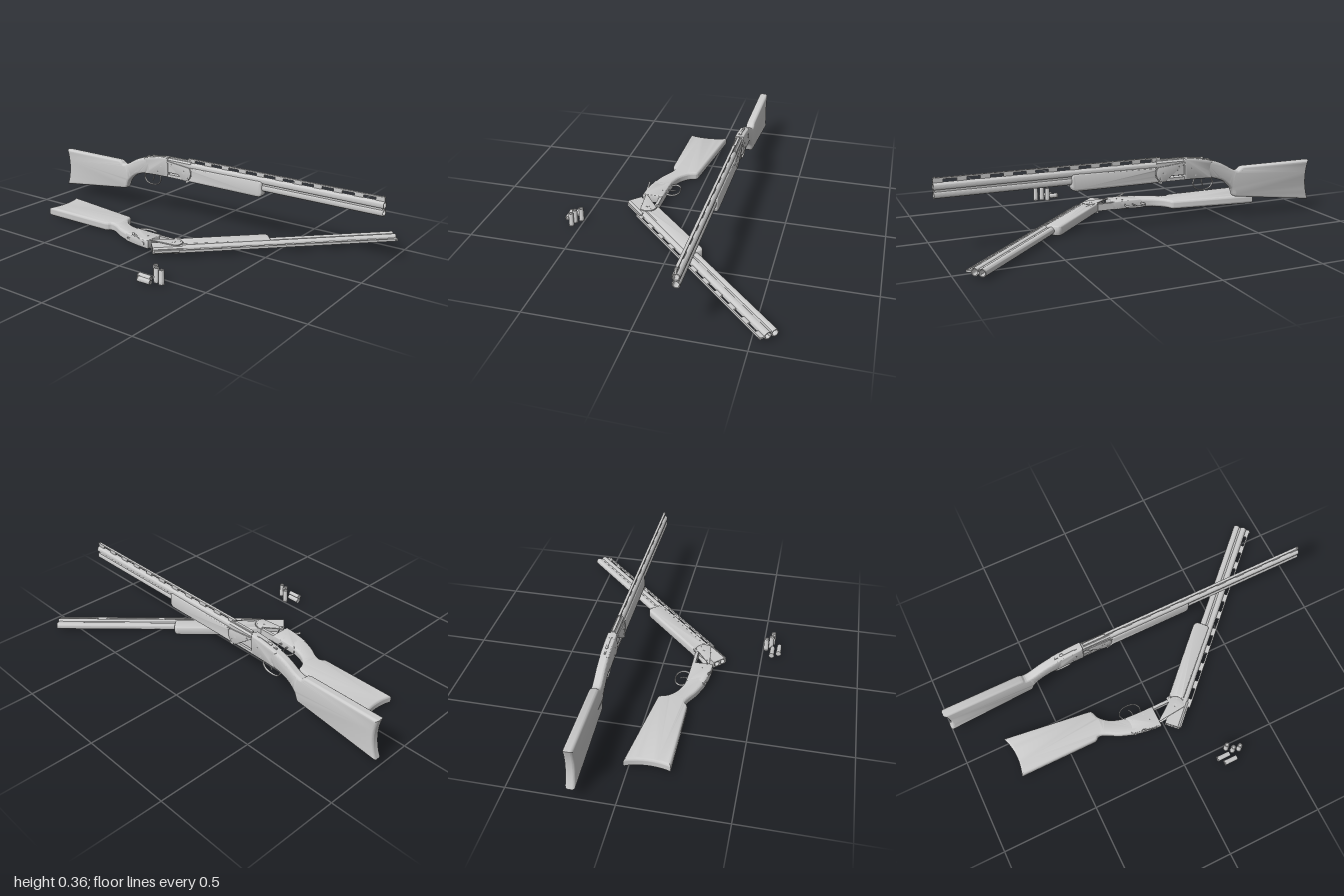
import * as THREE from 'three';
import { toCreasedNormals } from 'three/addons/utils/BufferGeometryUtils.js';

const mat = new THREE.MeshStandardMaterial({ color: 0xcccccc, side: THREE.DoubleSide });
const HINGE = { x: -0.127, y: 0.276 };
const BREECH = -0.238;
const BORES = [0.3135, 0.2775]; // heights of the upper and lower barrel

const V = (pts) => pts.map(([x, y]) => new THREE.Vector2(x, y));

function add(parent, name, geo, x = 0, y = 0, z = 0) {
  const mesh = new THREE.Mesh(geo, mat);
  mesh.name = name;
  mesh.position.set(x, y, z);
  parent.add(mesh);
  return mesh;
}

const box = (parent, name, x0, x1, y0, y1, width) =>
  add(parent, name, new THREE.BoxGeometry(x1 - x0, y1 - y0, width), (x0 + x1) / 2, (y0 + y1) / 2, 0);

// Side outline extruded to a rounded slab centred on z = 0
function slab(shape, half, bevel) {
  const depth = 2 * (half - bevel);
  const geo = new THREE.ExtrudeGeometry(shape, {
    depth, curveSegments: 10, bevelEnabled: bevel > 0, bevelSegments: 5,
    bevelThickness: bevel, bevelSize: bevel, bevelOffset: -bevel,
  });
  geo.translate(0, 0, -depth / 2);
  return toCreasedNormals(geo, 0.6);
}

// Cylinder lying across the gun
function crossPin(parent, name, x, y, r, half) {
  const pin = add(parent, name, new THREE.CylinderGeometry(r, r, half * 2, 16), x, y, 0);
  pin.rotation.x = Math.PI / 2;
}

function tube(points, r, flat) {
  const curve = new THREE.CatmullRomCurve3(points.map(([x, y]) => new THREE.Vector3(x, y, 0)));
  return new THREE.TubeGeometry(curve, 32, r, 8).scale(1, 1, flat);
}

function stockShape() {
  const s = new THREE.Shape();
  s.moveTo(-0.993, 0.268);
  s.lineTo(-0.585, 0.268);
  s.splineThru(V([[-0.57, 0.262], [-0.553, 0.251], [-0.52, 0.26], [-0.46, 0.293], [-0.4, 0.315], [-0.36, 0.322]]));
  s.lineTo(-0.36, 0.228);
  s.splineThru(V([[-0.42, 0.219], [-0.473, 0.198], [-0.515, 0.16], [-0.532, 0.12], [-0.545, 0.111]]));
  s.lineTo(-1, 0.052);
  s.quadraticCurveTo(-0.958, 0.16, -0.993, 0.268);
  return s;
}

function receiverShape() {
  const s = new THREE.Shape();
  s.moveTo(-0.4, 0.224);
  s.quadraticCurveTo(-0.33, 0.23, BREECH, 0.23);
  s.lineTo(BREECH, 0.339);
  s.quadraticCurveTo(-0.31, 0.337, -0.4, 0.315);
  s.quadraticCurveTo(-0.375, 0.27, -0.4, 0.224);
  return s;
}

function wallShape() {
  const s = new THREE.Shape();
  s.moveTo(-0.25, 0.23);
  s.absarc(HINGE.x, HINGE.y, 0.046, -Math.PI / 2, 0.7, false);
  s.lineTo(-0.25, 0.322);
  return s;
}

function forendShape() {
  const s = new THREE.Shape();
  s.moveTo(HINGE.x + 0.036, 0.307);
  s.lineTo(0.342, 0.312);
  s.quadraticCurveTo(0.355, 0.312, 0.357, 0.298);
  s.lineTo(0.359, 0.252);
  s.quadraticCurveTo(0.358, 0.229, 0.33, 0.228);
  s.lineTo(HINGE.x + 0.01, 0.229);
  s.absarc(HINGE.x, HINGE.y, 0.047, -1.4, 0.7, false);
  return s;
}

function buildBarrels(open) {
  const pivot = new THREE.Group();
  pivot.name = 'barrelAssembly';
  pivot.position.set(HINGE.x, HINGE.y, 0);
  pivot.rotation.z = -open;
  const g = new THREE.Group();
  g.position.set(-HINGE.x, -HINGE.y, 0);
  pivot.add(g);

  // Breech block with two chambers
  const block = new THREE.Shape(V([[-0.0175, 0.257], [0.0175, 0.257], [0.0175, 0.326], [0.01, 0.336], [-0.01, 0.336], [-0.0175, 0.326]]));
  for (const y of BORES) block.holes.push(new THREE.Path().absarc(0, y, 0.0135, 0, Math.PI * 2, true));
  const blockGeo = new THREE.ExtrudeGeometry(block, { depth: 0.15, bevelEnabled: false, curveSegments: 16 });
  add(g, 'breechBlock', toCreasedNormals(blockGeo, 0.6).rotateY(Math.PI / 2), BREECH + 0.002);

  // Hollow barrels
  const len = 1.11;
  const wall = V([[0.0138, 0], [0.018, 0], [0.018, len], [0.0138, len], [0.0138, 0]]);
  for (const y of BORES) {
    const geo = toCreasedNormals(new THREE.LatheGeometry(wall, 28), 0.6).rotateZ(-Math.PI / 2);
    add(g, 'barrel', geo, 1 - len, y);
  }
  for (const side of [-1, 1]) box(g, 'sideRib', -0.1, 0.995, 0.288, 0.303, 0.004).position.z = side * 0.01;

  // Ventilated sighting rib
  box(g, 'topRib', -0.11, 1, 0.346, 0.353, 0.013);
  box(g, 'ribRamp', BREECH + 0.01, -0.09, 0.334, 0.343, 0.013);
  for (let i = 0; i < 11; i++) {
    const x = -0.11 + i * 0.1065;
    box(g, 'ribPost', x, x + 0.045, 0.328, 0.347, 0.008);
  }
  add(g, 'frontBead', new THREE.SphereGeometry(0.004, 12, 8), 0.99, 0.355);

  add(g, 'forend', slab(forendShape(), 0.0245, 0.011));
  return pivot;
}

function buildGun(name, open, leverTurn) {
  const g = new THREE.Group();
  g.name = name;
  add(g, 'stock', slab(stockShape(), 0.0235, 0.014));

  // Receiver: solid rear, two side walls and a floor
  add(g, 'receiver', slab(receiverShape(), 0.0235, 0.007));
  for (const z of [-0.0205, 0.0205]) add(g, 'receiverWall', slab(wallShape(), 0.0028, 0.0008), 0, 0, z);
  box(g, 'receiverFloor', -0.25, HINGE.x + 0.015, 0.231, 0.247, 0.038);
  crossPin(g, 'hingePin', HINGE.x, HINGE.y, 0.009, 0.024);
  for (const [x, y] of [[-0.28, 0.285], [-0.21, 0.303], [-0.3, 0.25], [-0.105, 0.25]]) crossPin(g, 'screw', x, y, 0.004, 0.0245);

  // Trigger and guard
  add(g, 'triggerGuard', tube([[-0.398, 0.226], [-0.411, 0.2], [-0.395, 0.174], [-0.355, 0.165], [-0.315, 0.175], [-0.299, 0.2], [-0.306, 0.232]], 0.003, 2));
  add(g, 'trigger', tube([[-0.35, 0.232], [-0.347, 0.208], [-0.356, 0.188]], 0.003, 1.3));

  // Opening lever and safety catch
  const lever = new THREE.Group();
  lever.name = 'topLever';
  lever.position.set(-0.272, 0.336, 0);
  lever.rotation.set(0, leverTurn, 0.08);
  box(lever, 'leverArm', -0.075, 0.008, -0.004, 0.003, 0.009);
  add(lever, 'leverThumbPiece', new THREE.SphereGeometry(0.007, 14, 10).scale(1.4, 0.8, 1), -0.074, 0.001);
  add(lever, 'leverPivot', new THREE.CylinderGeometry(0.009, 0.009, 0.008, 16));
  g.add(lever);
  box(g, 'safetyCatch', -0.385, -0.366, 0.315, 0.326, 0.008);

  g.add(buildBarrels(open));
  return g;
}

function buildShell() {
  const profile = V([[0, 0], [0.0145, 0], [0.0145, 0.003], [0.0132, 0.004], [0.0132, 0.02], [0.0127, 0.021],
    [0.0127, 0.068], [0.0115, 0.071], [0.009, 0.071], [0.007, 0.067], [0, 0.067]]);
  return toCreasedNormals(new THREE.LatheGeometry(profile, 24), 0.6);
}

export function createModel() {
  const model = new THREE.Group();
  model.name = 'shotgunPair';

  const closed = buildGun('closedShotgun', 0, 0);
  closed.position.z = -0.2;

  // Second gun lies on its side, broken open
  const opened = buildGun('openShotgun', Math.PI / 4, -0.5);
  opened.rotation.x = Math.PI / 2;
  opened.position.set(0.222, 0.0275, -0.073);
  model.add(closed, opened);

  // Loose cartridges: three standing, two lying
  const shell = buildShell();
  for (const [x, z] of [[0.233, 0.515], [0.257, 0.54], [0.291, 0.547]]) add(model, 'standingShell', shell, x, 0, z);
  for (const [x, z] of [[0.163, 0.55], [0.187, 0.584]]) {
    add(model, 'lyingShell', shell, x, 0.0145, z).rotation.z = -Math.PI / 2;
  }
  return model;
}
